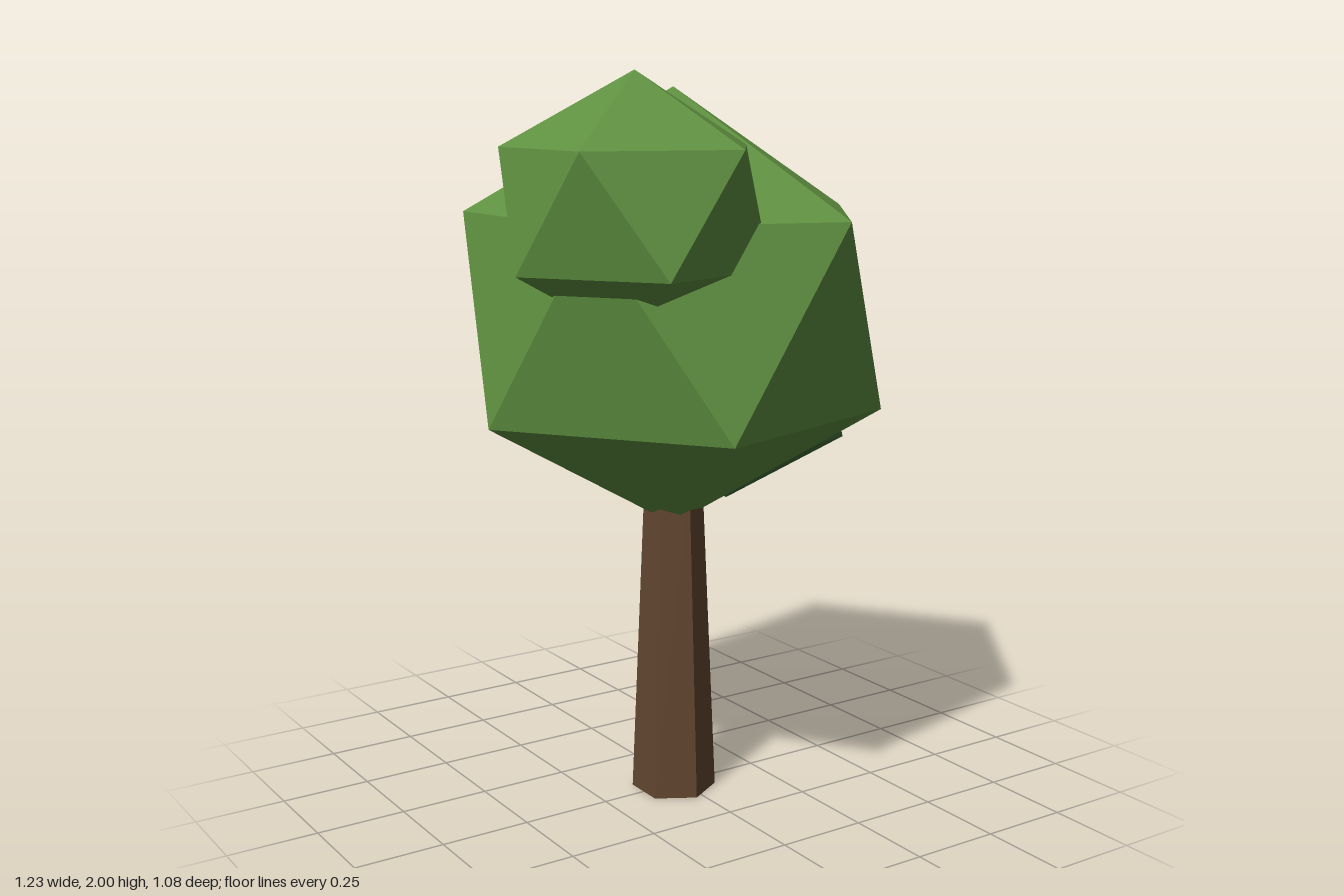
import * as THREE from 'three';

const flat = (name, color) => {
  const m = new THREE.MeshStandardMaterial({ color, flatShading: true });
  m.name = name;
  return m;
};

export function createModel() {
  const tree = new THREE.Group();
  tree.name = 'tree';
  const leaf = flat('leaf green', 0x5f9040);
  const darkLeaf = flat('dark leaf green', 0x42703c);
  const bark = flat('bark brown', 0x62462f);

  const add = (name, geometry, material, x, y, z) => {
    const mesh = new THREE.Mesh(geometry, material);
    mesh.name = name;
    mesh.position.set(x, y, z);
    tree.add(mesh);
  };

  // Icosahedron stood on one corner and slightly squashed
  const clump = (radius, squash) =>
    new THREE.IcosahedronGeometry(radius, 0)
      .rotateZ(-Math.atan(2 / (1 + Math.sqrt(5))))
      .scale(1, squash, 1);

  // Tapered six-sided trunk, its top hidden in the crown
  add('trunk', new THREE.CylinderGeometry(0.08, 0.118, 0.9, 6), bark, -0.022, 0.45, 0);

  // Crown with a high front clump and a low back clump
  add('crown', clump(0.633, 0.94), leaf, -0.022, 1.365, 0);
  add('upperClump', clump(0.38, 0.89), leaf, -0.275, 1.662, 0.212);
  add('lowerClump', clump(0.38, 0.89), darkLeaf, 0.275, 1.11, -0.17);

  return tree;
}
